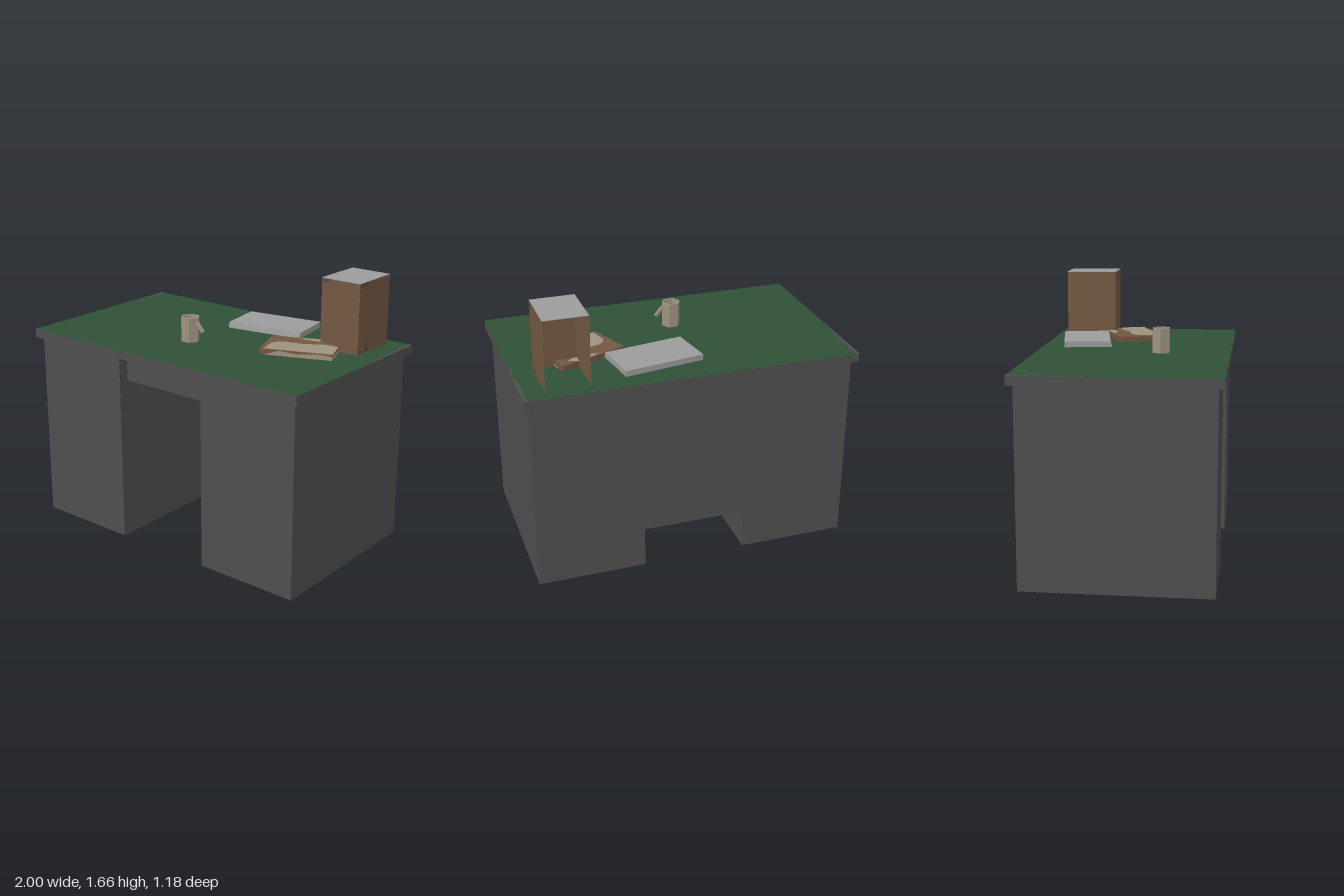
import * as THREE from 'three';

const mat = (name, color, side = THREE.FrontSide) => {
  const m = new THREE.MeshStandardMaterial({ color, side });
  m.name = name;
  return m;
};

// Box given by its min and max corners; omit lists faces left open (0 +x, 1 -x, 2 +y, 3 -y, 4 +z, 5 -z)
function boxGeometry([x0, y0, z0], [x1, y1, z1], omit = []) {
  const g = new THREE.BoxGeometry(x1 - x0, y1 - y0, z1 - z0);
  g.translate((x0 + x1) / 2, (y0 + y1) / 2, (z0 + z1) / 2);
  if (omit.length) {
    g.setIndex(Array.from(g.index.array).filter((_, i) => !omit.includes(Math.floor(i / 6))));
    g.clearGroups();
  }
  return g;
}

// Flat painted patch from outline points
const patch = (points) => new THREE.ShapeGeometry(new THREE.Shape(points.map(([x, y]) => new THREE.Vector2(x, y))));
// Patch lying on a horizontal surface, points as [x, z]
const floorPatch = (points, y) =>
  patch(points.map(([x, z]) => [x, -z])).rotateX(-Math.PI / 2).translate(0, y, 0);

export function createModel() {
  const desk = mat('charcoal', 0x4f4f4f, THREE.DoubleSide);
  const green = mat('green leather', 0x2f5037);
  const brown = mat('brown', 0x735842, THREE.DoubleSide);
  const grey = mat('light grey', 0x9c9c9c, THREE.DoubleSide);
  const beige = mat('beige', 0x9e927f, THREE.DoubleSide);

  const model = new THREE.Group();
  const add = (name, geometry, material, parent = model) => {
    const mesh = new THREE.Mesh(geometry, material);
    mesh.name = name;
    parent.add(mesh);
    return mesh;
  };

  // Desktop with green writing surface
  add('desktop', boxGeometry([-1, 1.175, -0.59], [1, 1.23, 0.59]), [desk, desk, green, desk, desk, desk]);

  // Hollow pedestals, open underneath, and worn edges of the writing surface
  for (const s of [-1, 1]) {
    const [a, b] = s < 0 ? [-0.968, -0.315] : [0.315, 0.968];
    add(s < 0 ? 'rightPedestal' : 'leftPedestal',
      boxGeometry([a, 0, -0.555], [b, 1.175, 0.555], [3]), desk);
    add('wornEdge', floorPatch([[s, -0.59], [s, -0.05], [s * 0.975, -0.59]], 1.231), desk);
  }

  // Back panel and centre drawer in the kneehole
  add('backPanel', boxGeometry([-0.315, 0.25, -0.555], [0.315, 1.175, -0.525]), desk);
  add('drawer', boxGeometry([-0.314, 1.01, -0.5], [0.314, 1.16, 0.49]), desk);

  // Upright file holder, open at the back
  const holder = new THREE.Group();
  holder.name = 'fileHolder';
  model.add(holder);
  add('holderWalls', boxGeometry([0.605, 1.23, -0.52], [0.865, 1.653, -0.2], [2, 3, 5]), brown, holder);
  add('holderTop', boxGeometry([0.605, 1.653, -0.52], [0.865, 1.656, -0.2]), grey, holder);
  add('holderFrontMark',
    patch([[0.605, 1.63], [0.645, 1.63], [0.675, 1.653], [0.605, 1.653]]).translate(0, 0, -0.198), desk, holder);
  add('holderSideMark',
    patch([[0.2, 1.63], [0.275, 1.63], [0.285, 1.653], [0.2, 1.653]]).rotateY(Math.PI / 2).translate(0.867, 0, 0), desk, holder);
  add('holderLowMark',
    patch([[0.265, 1.24], [0.305, 1.24], [0.28, 1.31]]).rotateY(Math.PI / 2).translate(0.867, 0, 0), desk, holder);

  // Grey slab, lower edge slightly wider at the front
  const slab = boxGeometry([-0.245, 1.25, -0.142], [0.245, 1.285, 0.142]);
  const p = slab.attributes.position;
  for (let i = 0; i < p.count; i++) if (p.getY(i) < 1.26 && p.getZ(i) > 0) p.setZ(i, 0.15);
  slab.computeVertexNormals();
  const paperTray = add('greySlab', slab, grey);
  paperTray.rotation.y = 0.16;
  paperTray.position.set(0.18, 0, -0.325);

  // Book with pale stains on cover and edges
  const book = new THREE.Group();
  book.name = 'book';
  book.rotation.y = 0.37;
  book.position.set(0.555, 0, -0.08);
  model.add(book);
  add('bookCover', boxGeometry([-0.215, 1.23, -0.139], [0.215, 1.265, 0.139]), brown, book);
  add('bookFrontStain',
    patch([[-0.19, 1.231], [0.215, 1.231], [0.215, 1.255], [0.12, 1.262], [0, 1.25], [-0.1, 1.262]])
      .translate(0, 0, 0.141), beige, book);
  add('bookSideStain',
    patch([[-0.139, 1.231], [0.1, 1.231], [0.03, 1.25], [-0.139, 1.258]])
      .rotateY(Math.PI / 2).translate(0.217, 0, 0), beige, book);
  add('bookCoverStain', floorPatch([[0.425, 0.117], [0.405, 0.05], [0.393, 0], [0.405, -0.04], [0.44, -0.07],
    [0.5, -0.085], [0.564, -0.1], [0.61, -0.135], [0.66, -0.166], [0.75, -0.176], [0.808, -0.032]], 1.267), beige);
  add('bookCornerStain', floorPatch([[0.468, -0.187], [0.53, -0.222], [0.607, -0.25], [0.67, -0.235],
    [0.63, -0.2], [0.52, -0.176]], 1.267), beige);

  // Six-sided mug with a slanted handle
  const mug = new THREE.Group();
  mug.name = 'mug';
  mug.position.set(-0.087, 1.23, 0.17);
  model.add(mug);
  const profile = [[0.046, 0], [0.058, 0], [0.058, 0.15], [0.046, 0.15], [0.046, 0]]
    .map(([r, y]) => new THREE.Vector2(r, y));
  const wall = new THREE.LatheGeometry(profile, 6, Math.PI / 6).toNonIndexed();
  wall.computeVertexNormals();
  add('mugWall', wall, beige, mug);
  const handle = add('mugHandle', new THREE.BoxGeometry(0.075, 0.016, 0.018), beige, mug);
  handle.position.set(0.075, 0.096, 0);
  handle.rotation.z = -0.87;

  return model;
}
